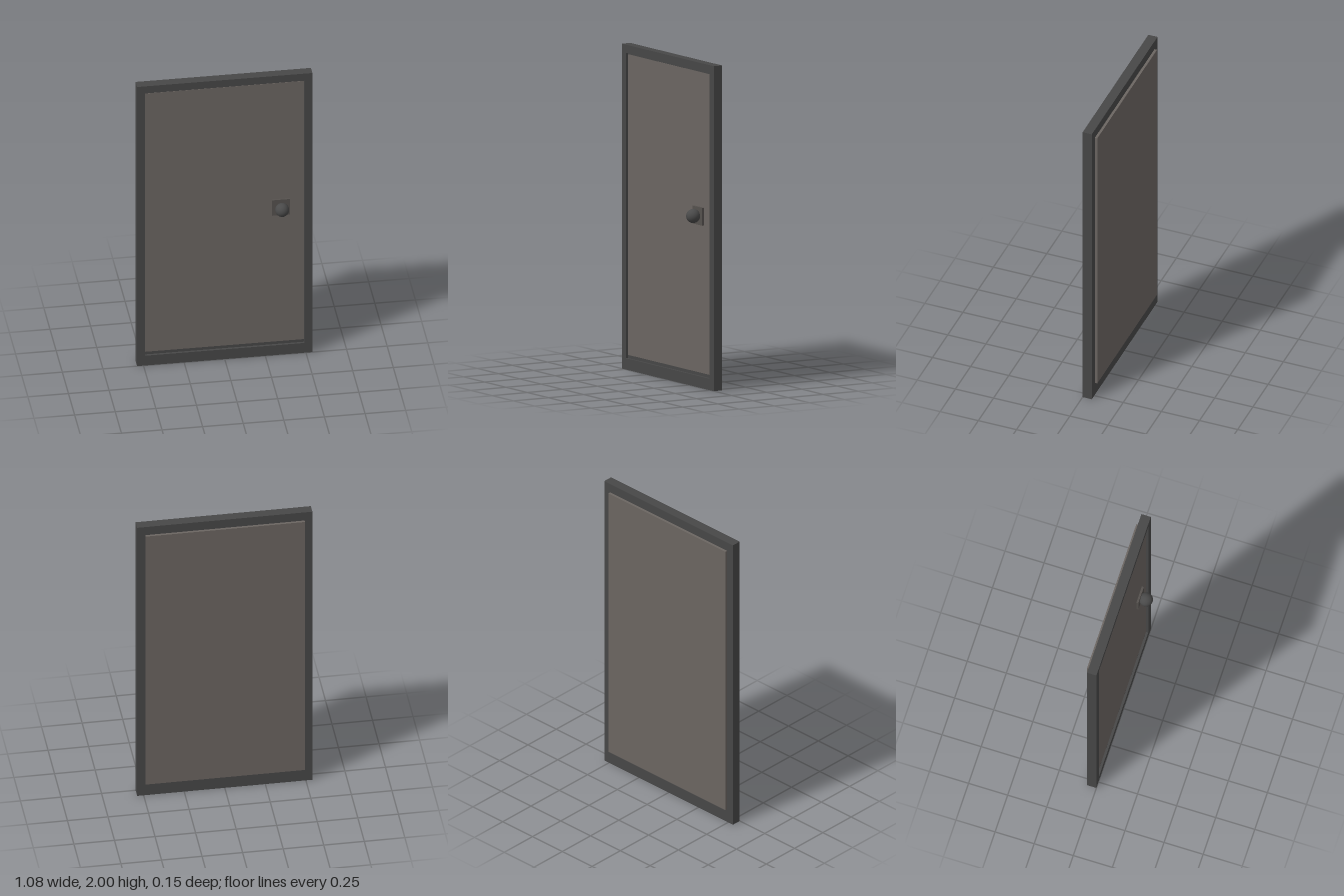
import * as THREE from 'three';

const material = (color) => new THREE.MeshStandardMaterial({ color });
const frameMat = material(0x474747);
const doorMat = material(0x6b6561);
const plateMat = material(0x55514e);
const knobMat = material(0x4a4a4a);

// Rectangular corner list for shapes and holes
const rect = (x0, x1, y0, y1) => [[x0, y0], [x1, y0], [x1, y1], [x0, y1]]
  .map(([x, y]) => new THREE.Vector2(x, y));

// Frame ring between two depths, with a rectangular opening
function ring(name, z0, z1, opening) {
  const shape = new THREE.Shape(rect(-0.54, 0.54, 0, 2));
  shape.holes.push(new THREE.Path(rect(...opening)));
  const geometry = new THREE.ExtrudeGeometry(shape, { depth: z1 - z0, bevelEnabled: false });
  geometry.translate(0, 0, z0);
  const mesh = new THREE.Mesh(geometry, frameMat);
  mesh.name = name;
  return mesh;
}

// Box given by its limits on each axis
function box(name, mat, x0, x1, y0, y1, z0, z1) {
  const mesh = new THREE.Mesh(new THREE.BoxGeometry(x1 - x0, y1 - y0, z1 - z0), mat);
  mesh.position.set((x0 + x1) / 2, (y0 + y1) / 2, (z0 + z1) / 2);
  mesh.name = name;
  return mesh;
}

export function createModel() {
  const model = new THREE.Group();
  model.name = 'door';

  // Frame: wider opening in front, a stop behind it that hugs the panel
  const frame = new THREE.Group();
  frame.name = 'doorFrame';
  frame.add(ring('frontFrame', -0.015, 0, [-0.49, 0.49, 0.07, 1.95]));
  frame.add(ring('frameStop', -0.06, -0.015, [-0.49, 0.49, 0.09, 1.94]));
  model.add(frame);

  // Panel, standing slightly proud at the back
  model.add(box('doorPanel', doorMat, -0.492, 0.49, 0.09, 1.94, -0.076, -0.013));

  // Knob on its square plate
  model.add(box('knobPlate', plateMat, 0.292, 0.403, 1.0, 1.11, -0.014, 0));
  const knob = new THREE.Mesh(new THREE.SphereGeometry(0.043, 32, 20), knobMat);
  knob.position.set(0.349, 1.056, 0.031);
  knob.name = 'knob';
  model.add(knob);

  return model;
}
